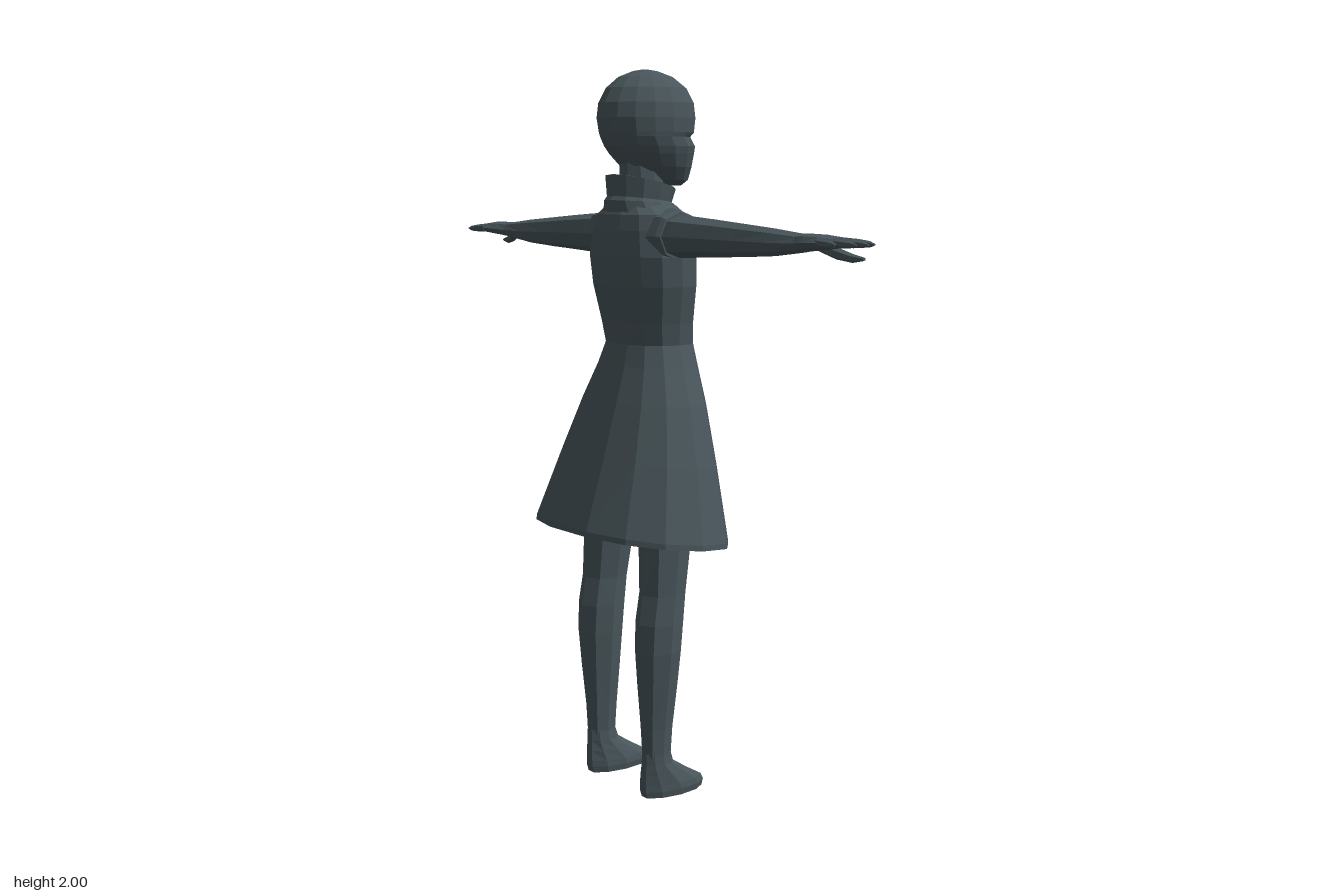
import * as THREE from 'three';

// Faceted skin over cross-sections [t, centreA, halfA, b0, b1, tilt].
// Axis 'y': t = y, a = x, b = z.  Axis 'x': t = x, a = y, b = z.
function loft(sections, { n = 12, axis = 'y', side = 1, caps = true, square = 1 } = {}) {
  const collapse = ([t, c, , b0, b1, tilt = 0]) => [t, c, 0, (b0 + b1) / 2, (b0 + b1) / 2, tilt];
  const secs = caps ? [collapse(sections[0]), ...sections, collapse(sections.at(-1))] : sections;
  const bulge = (v) => Math.sign(v) * Math.abs(v) ** square;
  const rings = secs.map(([t, c, ra, b0, b1, tilt = 0]) => Array.from({ length: n }, (_, j) => {
    const angle = ((j + 0.0) / n) * Math.PI * 2;
    const a = c + ra * bulge(Math.cos(angle));
    const s = bulge(Math.sin(angle));
    const b = (b0 + b1) / 2 + s * Math.abs(b0 - b1) / 2;
    const p = axis === 'y' ? [a, t + tilt * s, b] : [t, a, b];
    return new THREE.Vector3(p[0] * side, p[1], p[2]);
  }));
  const flip = (axis === 'y' ? 1 : -1) * side < 0;
  const positions = [];
  const tri = (a, b, c) => {
    const area = b.clone().sub(a).cross(c.clone().sub(a)).length();
    if (area < 1e-9) return;
    for (const v of flip ? [a, c, b] : [a, b, c]) positions.push(v.x, v.y, v.z);
  };
  for (let i = 0; i < rings.length - 1; i++) {
    for (let j = 0; j < n; j++) {
      const k = (j + 1) % n;
      tri(rings[i][j], rings[i + 1][j], rings[i][k]);
      tri(rings[i][k], rings[i + 1][j], rings[i + 1][k]);
    }
  }
  const geometry = new THREE.BufferGeometry();
  geometry.setAttribute('position', new THREE.Float32BufferAttribute(positions, 3));
  geometry.computeVertexNormals();
  return geometry;
}

export function createModel() {
  const model = new THREE.Group();
  model.name = 'figure';
  const slate = new THREE.MeshStandardMaterial({ color: 0x48555a, side: THREE.DoubleSide });
  slate.name = 'slate';
  const add = (parent, name, sections, options) => {
    const mesh = new THREE.Mesh(loft(sections, options), slate);
    mesh.name = name;
    parent.add(mesh);
  };

  // Head, with a brow step above the face; the face looks toward -z
  add(model, 'head', [
    [1.69, 0, 0.035, -0.07, -0.165],
    [1.705, 0, 0.06, -0.03, -0.183],
    [1.74, 0, 0.088, 0.02, -0.189],
    [1.775, 0, 0.106, 0.055, -0.193],
    [1.795, 0, 0.114, 0.07, -0.195],
    [1.82, 0, 0.118, 0.082, -0.174],
    [1.832, 0, 0.121, 0.086, -0.188],
    [1.87, 0, 0.124, 0.093, -0.193],
    [1.91, 0, 0.12, 0.088, -0.188],
    [1.95, 0, 0.103, 0.066, -0.165],
    [1.98, 0, 0.07, 0.03, -0.125],
    [1.996, 0, 0.032, -0.012, -0.08],
    [2.0, 0, 0.01, -0.035, -0.055],
  ], { n: 16 });

  add(model, 'neck', [
    [1.6, 0, 0.062, 0.03, -0.1],
    [1.77, 0, 0.058, 0.03, -0.095],
  ], { n: 10 });

  // Standing collar, higher at the back, open at the top
  add(model, 'collar', [
    [1.615, 0, 0.115, 0.066, -0.125, 0.004],
    [1.645, 0, 0.096, 0.07, -0.122, 0.006],
    [1.652, 0, 0.09, 0.062, -0.115, 0.01],
    [1.698, 0, 0.097, 0.066, -0.128, 0.022],
    [1.698, 0, 0.085, 0.054, -0.116, 0.022],
    [1.66, 0, 0.078, 0.046, -0.108, 0.02],
  ], { n: 12, caps: false });

  // Dress: lining, hem, flared skirt, waist, bodice and shoulders
  add(model, 'dress', [
    [1.2, 0, 0.14, 0.045, -0.15],
    [0.96, 0, 0.24, 0.125, -0.175, 0.015],
    [0.735, 0, 0.313, 0.208, -0.205, 0.025],
    [0.73, 0, 0.325, 0.22, -0.217, 0.025],
    [0.745, 0, 0.324, 0.219, -0.216, 0.025],
    [0.94, 0, 0.265, 0.15, -0.197, 0.015],
    [1.1, 0, 0.209, 0.095, -0.181, 0.005],
    [1.2, 0, 0.163, 0.059, -0.17],
    [1.26, 0, 0.138, 0.042, -0.164],
    [1.32, 0, 0.148, 0.052, -0.16],
    [1.42, 0, 0.172, 0.071, -0.16],
    [1.5, 0, 0.178, 0.08, -0.158],
    [1.57, 0, 0.163, 0.075, -0.148],
    [1.612, 0, 0.147, 0.066, -0.132],
    [1.638, 0, 0.1, 0.05, -0.115],
  ], { n: 14, square: 0.88 });

  for (const side of [1, -1]) {
    const label = side > 0 ? 'left' : 'right';
    const arm = new THREE.Group();
    arm.name = label + 'Arm';
    model.add(arm);
    const along = { n: 8, axis: 'x', side };

    // Raised rim around the armhole
    add(arm, 'armhole', [
      [0.12, 1.555, 0.075, 0.045, -0.12],
      [0.158, 1.557, 0.071, 0.04, -0.115],
      [0.172, 1.555, 0.066, 0.033, -0.105],
    ], along);

    add(arm, 'arm', [
      [0.13, 1.555, 0.06, 0.03, -0.1],
      [0.2, 1.556, 0.056, 0.028, -0.092],
      [0.32, 1.555, 0.049, 0.018, -0.084],
      [0.44, 1.553, 0.042, 0.012, -0.08],
      [0.56, 1.552, 0.034, 0.008, -0.077],
      [0.67, 1.553, 0.022, 0, -0.073],
    ], along);

    add(arm, 'palm', [
      [0.655, 1.553, 0.023, 0, -0.073],
      [0.7, 1.556, 0.021, 0.01, -0.078],
      [0.75, 1.558, 0.018, 0.017, -0.084],
      [0.795, 1.558, 0.013, 0.014, -0.08],
    ], along);

    // Four fingers: [start x, start z, tip x, tip z]
    [[0.77, -0.068, 0.865, -0.075], [0.775, -0.044, 0.877, -0.044],
      [0.775, -0.019, 0.868, -0.013], [0.755, 0.004, 0.83, 0.018]].forEach(([x0, z0, x1, z1], i) => {
      const rows = [[0, 0.012], [0.5, 0.011], [0.85, 0.008], [1, 0.003]].map(([f, r]) => {
        const z = z0 + (z1 - z0) * f;
        return [x0 + (x1 - x0) * f, 1.558 - 0.003 * f, r * 0.95, z + r, z - r];
      });
      add(arm, 'finger' + (i + 1), rows, { n: 6, axis: 'x', side });
    });

    add(arm, 'thumb', [
      [0.69, 1.548, 0.014, -0.045, -0.073],
      [0.73, 1.53, 0.015, -0.067, -0.094],
      [0.775, 1.519, 0.011, -0.08, -0.103],
      [0.81, 1.518, 0.004, -0.092, -0.101],
    ], { n: 6, axis: 'x', side });

    // Leg and shoe in one tapering skin, toes toward -z
    const leg = new THREE.Group();
    leg.name = label + 'Leg';
    model.add(leg);
    add(leg, 'foot', [
      [0, 0.13, 0.043, 0.055, -0.148],
      [0.018, 0.13, 0.046, 0.06, -0.152],
      [0.035, 0.13, 0.045, 0.061, -0.143],
      [0.065, 0.131, 0.041, 0.059, -0.09],
      [0.095, 0.132, 0.036, 0.056, -0.042],
      [0.125, 0.133, 0.034, 0.055, -0.032],
    ], { n: 10, side });
    add(leg, 'leg', [
      [0.115, 0.133, 0.034, 0.055, -0.033],
      [0.2, 0.133, 0.039, 0.06, -0.038],
      [0.32, 0.136, 0.052, 0.07, -0.048],
      [0.42, 0.138, 0.061, 0.077, -0.056],
      [0.5, 0.138, 0.063, 0.075, -0.063],
      [0.58, 0.137, 0.06, 0.062, -0.072],
      [0.7, 0.132, 0.066, 0.06, -0.09],
      [0.85, 0.122, 0.074, 0.065, -0.105],
      [1.05, 0.09, 0.078, 0.06, -0.115],
    ], { n: 8, side });
  }
  return model;
}
